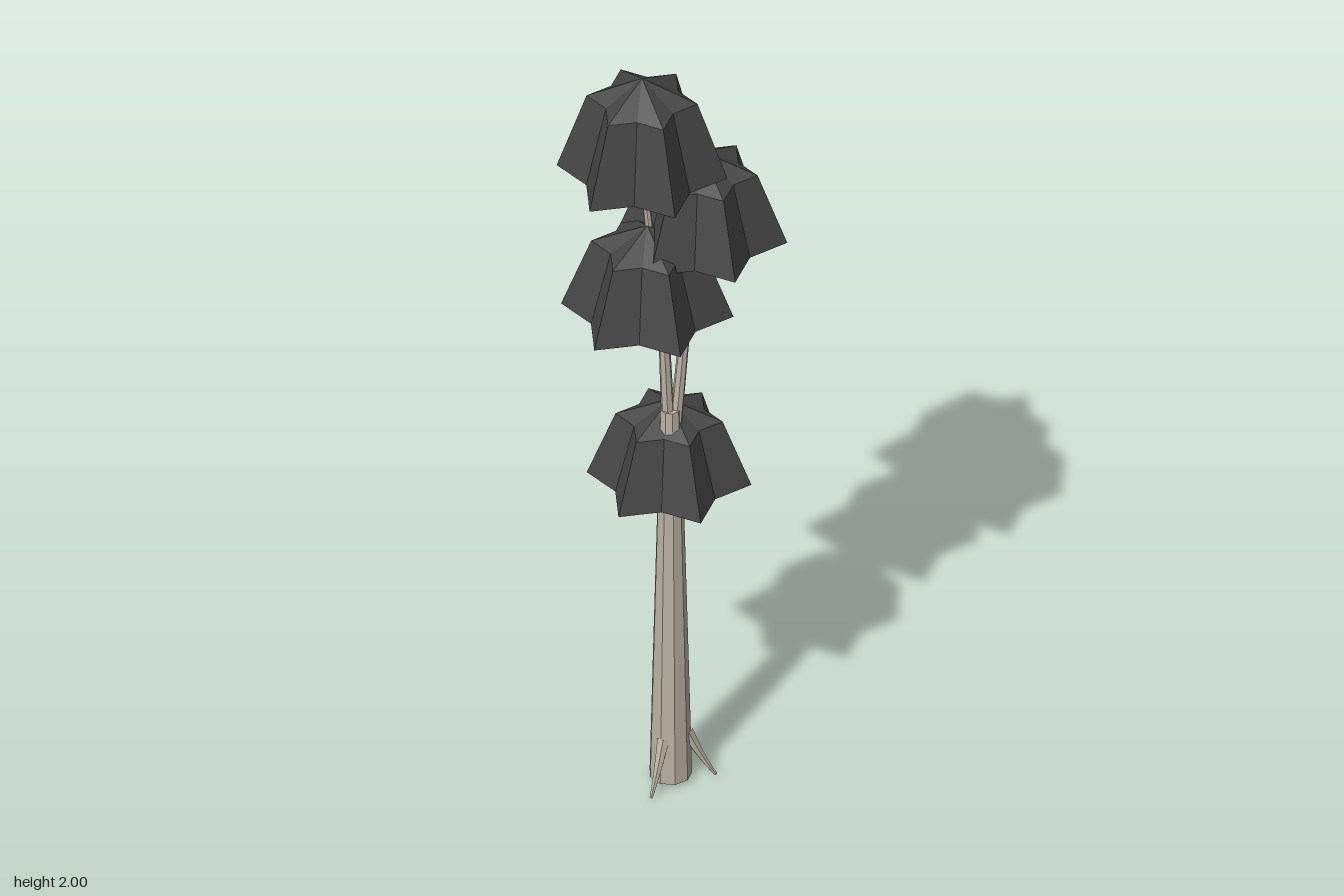
import * as THREE from 'three';

export function createModel() {
  const bark = new THREE.MeshStandardMaterial({ color: 0xbab1a3, flatShading: true });
  bark.name = 'paleBark';
  const leaves = new THREE.MeshStandardMaterial({ color: 0x464646, flatShading: true });
  leaves.name = 'darkFoliage';

  const tree = new THREE.Group();
  tree.name = 'tree';
  const V = (x, y, z) => new THREE.Vector3(x, y, z);
  const add = (name, geometry, material) => {
    const mesh = new THREE.Mesh(geometry, material);
    mesh.name = name;
    tree.add(mesh);
    return mesh;
  };

  // Round limb along a curve, narrowing from r0 to r1
  const limb = (name, points, r0, r1, segments, sides) => {
    const curve = new THREE.CatmullRomCurve3(points);
    const geo = new THREE.TubeGeometry(curve, segments, 1, sides, false);
    const pos = geo.attributes.position;
    const p = V(0, 0, 0);
    for (let i = 0; i < pos.count; i++) {
      const t = Math.floor(i / (sides + 1)) / segments;
      const centre = curve.getPointAt(t);
      p.fromBufferAttribute(pos, i).sub(centre).multiplyScalar(r0 + (r1 - r0) * t).add(centre);
      pos.setXYZ(i, p.x, p.y, p.z);
    }
    return add(name, geo, bark);
  };

  // Trunk: tapered shaft with closed ends
  const trunkProfile = [[0, 0.01], [0.05, 0.01], [0.043, 0.3], [0.031, 0.78], [0.024, 1.045], [0, 1.045]];
  const trunk = add('trunk', new THREE.LatheGeometry(trunkProfile.map(([r, y]) => new THREE.Vector2(r, y)), 9), bark);
  trunk.position.set(-0.004, 0, -0.009);

  // Three roots spreading from the foot
  for (const [x, z] of [[0.062, 0.072], [0.05, -0.09], [-0.104, 0.012]]) {
    const dx = x + 0.004, dz = z + 0.009;
    const at = (k, y) => V(-0.004 + dx * k, y, -0.009 + dz * k);
    limb('root', [at(0.35, 0.13), at(0.55, 0.085), at(0.78, 0.04), at(1, 0.004)], 0.016, 0.004, 6, 6);
  }

  // Upper limbs forking into the crown
  limb('leftBranch', [V(0.004, 1.0, 0), V(0.035, 1.34, 0.014), V(0.062, 1.52, 0.025)], 0.015, 0.01, 6, 7);
  limb('rightBranch', [V(-0.008, 1.0, -0.012), V(-0.026, 1.34, -0.018), V(-0.05, 1.55, -0.033),
    V(-0.06, 1.73, -0.045)], 0.016, 0.008, 8, 7);

  // Star-shaped foliage: twelve-sided dome with every other side pulled in
  const canopy = (name, x, z, radius, base, rim, apex) => {
    const h = apex - rim;
    const profile = [[0, base], [radius, rim], [radius * 0.65, rim + h * 0.77], [0, apex]];
    const geo = new THREE.LatheGeometry(profile.map(([r, y]) => new THREE.Vector2(r, y)), 12);
    const pos = geo.attributes.position;
    for (let i = 0; i < pos.count; i++) {
      const column = Math.floor(i / profile.length);
      if (column % 2 === 0) {
        pos.setX(i, pos.getX(i) * 0.7);
        pos.setZ(i, pos.getZ(i) * 0.7);
      }
    }
    add(name, geo, leaves).position.set(x, 0, z);
  };
  canopy('topFoliage', -0.064, -0.045, 0.198, 1.69, 1.735, 2.0);
  canopy('leftFoliage', 0.066, 0.03, 0.197, 1.46, 1.51, 1.75);
  canopy('rightFoliage', -0.06, -0.033, 0.2, 1.305, 1.345, 1.585);
  canopy('lowerFoliage', 0.038, -0.045, 0.191, 0.77, 0.805, 1.03);

  return tree;
}
